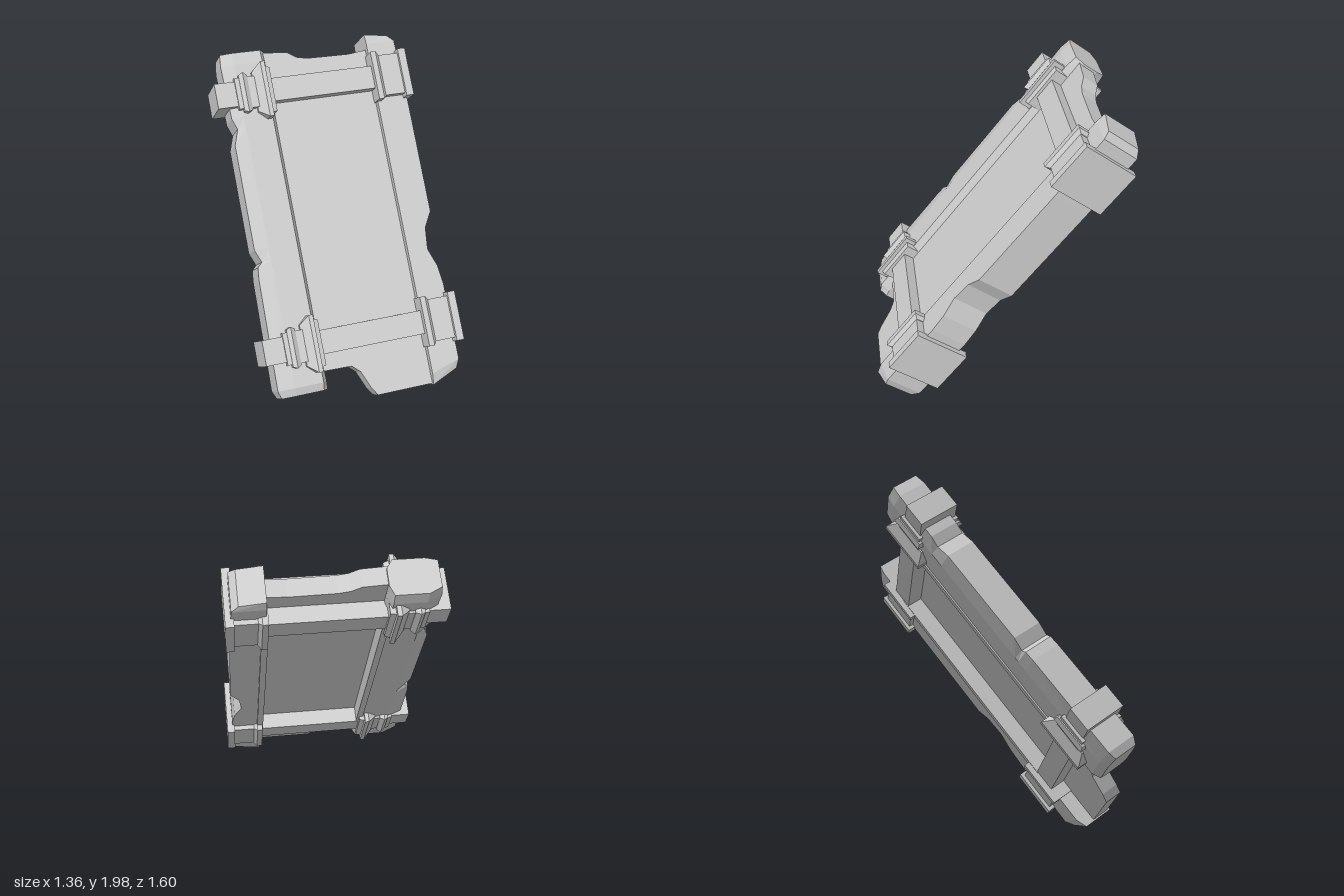
import * as THREE from 'three';

const material = new THREE.MeshStandardMaterial({ color: 0xcccccc, flatShading: true });

function add(parent, name, geometry) {
  const mesh = new THREE.Mesh(geometry, material);
  mesh.name = name;
  parent.add(mesh);
  return mesh;
}

// Box from ranges; the two x ends can be scaled to give tapered flanges
function block(parent, name, [x0, x1], [y0, y1], [z0, z1], left = 1, right = 1) {
  const g = new THREE.BoxGeometry(x1 - x0, y1 - y0, z1 - z0);
  const p = g.attributes.position;
  for (let i = 0; i < p.count; i++) {
    const s = p.getX(i) < 0 ? left : right;
    p.setY(i, p.getY(i) * s);
    p.setZ(i, p.getZ(i) * s);
  }
  g.translate((x0 + x1) / 2, (y0 + y1) / 2, (z0 + z1) / 2);
  g.computeVertexNormals();
  return add(parent, name, g);
}

// Skin convex rings stacked along y; each ring is a list of [x, y, z]
function loft(rings) {
  const n = rings[0].length, pos = rings.flat(2), idx = [];
  const last = (rings.length - 1) * n;
  for (let r = 0; r < rings.length - 1; r++) {
    for (let i = 0; i < n; i++) {
      const a = r * n + i, b = r * n + (i + 1) % n;
      idx.push(a, b, b + n, a, b + n, a + n);
    }
  }
  for (let i = 1; i < n - 1; i++) {
    idx.push(last, last + i, last + i + 1, 0, i + 1, i);
  }
  const g = new THREE.BufferGeometry();
  g.setAttribute('position', new THREE.Float32BufferAttribute(pos, 3));
  g.setIndex(idx);
  const flat = g.toNonIndexed();
  flat.computeVertexNormals();
  return flat;
}

// Clamp on the left side: outer plate, middle block, inner flange
function plainClamp(parent, y) {
  const clamp = new THREE.Group();
  clamp.name = 'plainClamp';
  const span = (h) => [y - h, y + h];
  block(clamp, 'outerPlate', [0.585, 0.635], span(0.158), [-0.187, 0.187]);
  block(clamp, 'clampBlock', [0.43, 0.59], span(0.135), [-0.165, 0.165]);
  block(clamp, 'innerFlange', [0.395, 0.43], span(0.158), [-0.187, 0.187]);
  block(clamp, 'flangeBevel', [0.43, 0.452], span(0.158), [-0.187, 0.187], 1, 0.88);
  parent.add(clamp);
}

// Clamp on the right side: end post, ribs and one large flange
function ribbedClamp(parent, y) {
  const clamp = new THREE.Group();
  clamp.name = 'ribbedClamp';
  const span = (h) => [y - h, y + h];
  block(clamp, 'endPost', [-0.65, -0.5], span(0.08), [-0.125, 0.145]);
  block(clamp, 'neck', [-0.52, -0.3], span(0.1), [-0.145, 0.155]);
  block(clamp, 'outerRib', [-0.49, -0.465], span(0.128), [-0.17, 0.175], 0.9, 1);
  block(clamp, 'outerRibBack', [-0.465, -0.435], span(0.128), [-0.17, 0.175], 1, 0.88);
  block(clamp, 'flangeSlope', [-0.4, -0.345], span(0.178), [-0.195, 0.2], 0.72, 1);
  block(clamp, 'largeFlange', [-0.345, -0.318], span(0.178), [-0.195, 0.2]);
  block(clamp, 'flangeStep', [-0.318, -0.285], span(0.15), [-0.17, 0.175], 1, 0.95);
  parent.add(clamp);
}

export function createModel() {
  const model = new THREE.Group();
  model.name = 'brokenFramedSlab';
  const slab = new THREE.Group();
  slab.name = 'leaningSlab';
  model.add(slab);

  // Central panel with broken top and bottom edges
  const outline = [
    [-0.32, -0.935], [-0.1, -0.94], [-0.05, -0.985], [0.0, -1.1], [0.035, -1.15], [0.42, -1.15],
    [0.42, 1.07], [0.28, 1.055], [0.0, 1.06], [-0.07, 1.075], [-0.13, 1.115], [-0.32, 1.13],
  ];
  const shape = new THREE.Shape(outline.map(([x, y]) => new THREE.Vector2(x, y)));
  const panel = new THREE.ExtrudeGeometry(shape, { depth: 0.115, bevelEnabled: false });
  panel.translate(0, 0, -0.04);
  add(slab, 'panel', panel);

  // Left column with chipped outer edge: [y, outer x, end slope, depth scale]
  const leftStations = [
    [-1.12, 0.58, 0.42, 0.8], [-1.06, 0.6, 0.3, 1], [-0.54, 0.6, 0, 1], [-0.42, 0.585, 0, 1],
    [-0.3, 0.54, 0, 1], [-0.16, 0.555, 0, 1], [-0.06, 0.612, 0, 1], [0.65, 0.612, 0, 1],
    [1.1, 0.6, 0, 1], [1.15, 0.56, -0.15, 0.92],
  ];
  add(slab, 'leftColumn', loft(leftStations.map(([y, out, slope, s]) => [
    [0.405, 0.115], [out, 0.115], [out, -0.135], [0.405, -0.135],
  ].map(([x, z]) => [x, y + slope * (x - 0.5), z * s]))));

  // Right column with bevelled edges and small chips: [y, outer x, depth scale]
  const rightStations = [
    [-1.05, -0.58, 0.8], [-1.0, -0.6, 1], [-0.3, -0.588, 1], [-0.23, -0.58, 1], [-0.2, -0.55, 1],
    [-0.12, -0.582, 1], [0.55, -0.58, 1], [0.65, -0.545, 1], [0.72, -0.57, 1],
    [1.06, -0.58, 1], [1.14, -0.57, 0.9],
  ];
  add(slab, 'rightColumn', loft(rightStations.map(([y, out, s]) => [
    [out, 0.1], [-0.495, 0.12], [-0.31, 0.12], [-0.275, 0.06],
    [-0.275, -0.06], [-0.3, -0.13], [-0.495, -0.13], [out, -0.09],
  ].map(([x, z]) => [x, y, z * s]))));

  // Thin trims along the back of the columns
  block(slab, 'leftBackTrim', [0.39, 0.43], [-0.7, 0.85], [-0.15, -0.03]);
  block(slab, 'rightBackTrim', [-0.31, -0.27], [-0.7, 0.85], [-0.14, -0.03]);

  // Cross rails on both faces, with a clamp at each end
  for (const y of [-0.755, 0.865]) {
    block(slab, 'frontRail', [-0.3, 0.41], [y - 0.075, y + 0.075], [0.06, 0.147]);
    block(slab, 'backRail', [-0.3, 0.41], [y - 0.075, y + 0.075], [-0.145, -0.03]);
    plainClamp(slab, y);
    ribbedClamp(slab, y);
  }

  // Lean the slab back, with a slight turn
  const v = new THREE.Vector3(0.034, 0.796, -0.605).normalize();
  const n = new THREE.Vector3(0.998, -0.008, 0.046).cross(v).normalize();
  const u = new THREE.Vector3().crossVectors(v, n);
  slab.quaternion.setFromRotationMatrix(new THREE.Matrix4().makeBasis(u, v, n));
  slab.position.y = 1;
  return model;
}
